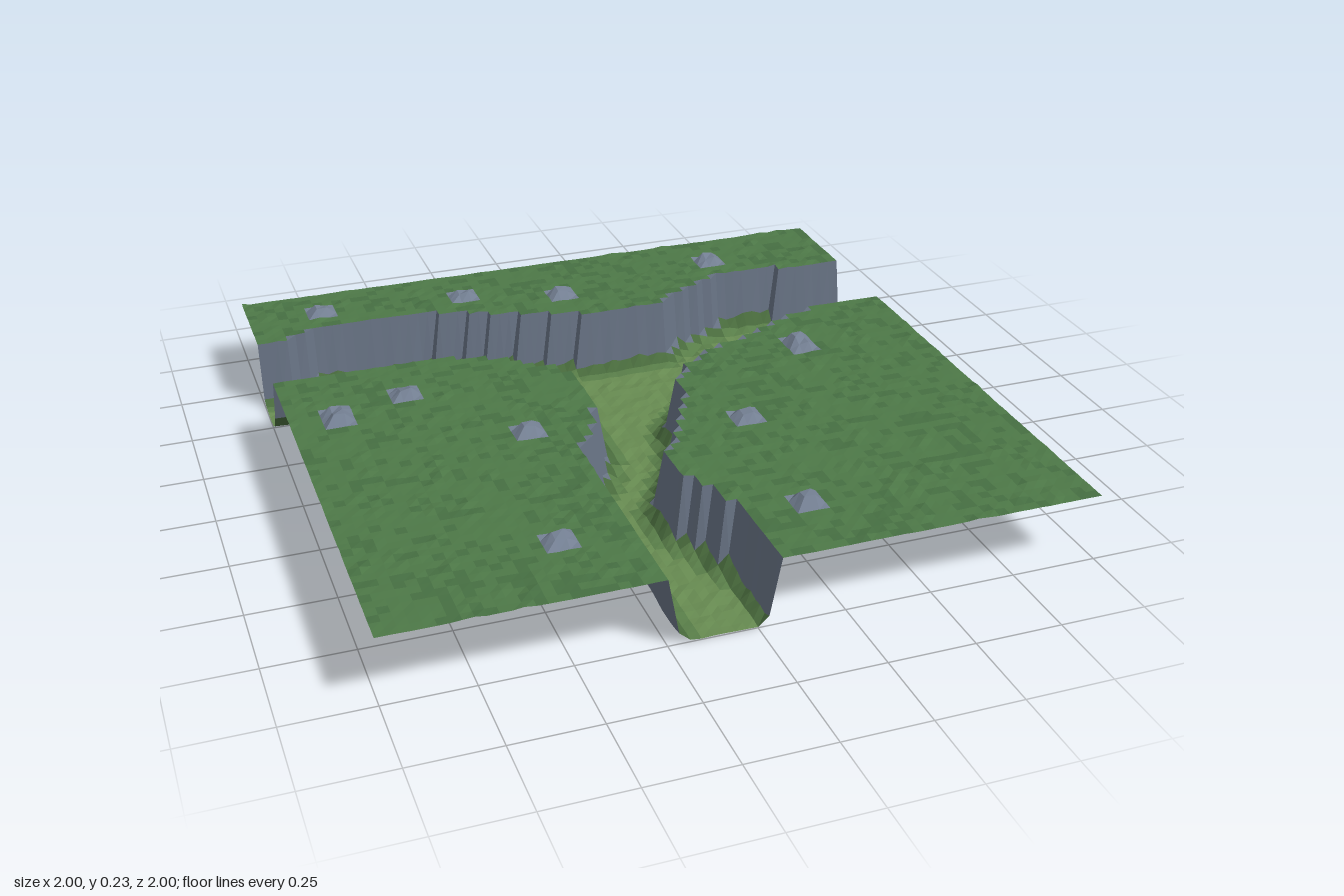
import * as THREE from 'three';

const N = 64, STEP = 2 / N, TOP = 0.203;

// Canyon rims seen from above, as x, z pairs
const northRim = [[-1.2, -0.68], [-0.91, -0.68], [-0.82, -0.72], [-0.7, -0.735], [-0.45, -0.73], [-0.35, -0.7],
  [-0.25, -0.65], [-0.1, -0.6], [0.05, -0.55], [0.3, -0.545], [0.4, -0.62], [0.55, -0.69], [0.75, -0.69],
  [0.82, -0.675], [1.2, -0.675]];
const eastRim = [[1.2, -0.4], [0.8, -0.39], [0.65, -0.35], [0.5, -0.28], [0.4, -0.23], [0.3, -0.2], [0.2, -0.11],
  [0.14, -0.03], [0.12, 0.1], [0.07, 0.2], [0.01, 0.3], [-0.05, 0.4], [-0.05, 0.5], [0, 0.6], [0.03, 0.7],
  [0.06, 0.8], [0.06, 1.2]];
const westRim = [[-0.24, 1.2], [-0.24, 0.9], [-0.23, 0.7], [-0.24, 0.5], [-0.24, 0.3], [-0.17, 0.2], [-0.13, 0.1],
  [-0.1, 0], [-0.11, -0.15], [-0.14, -0.24], [-0.2, -0.29], [-0.25, -0.34], [-0.35, -0.39], [-0.45, -0.41],
  [-0.6, -0.435], [-1.2, -0.435]];
const outline = [...northRim, ...eastRim, ...westRim];

// Centres of the rocks on the plateaus
const rocks = [[-0.77, -0.87], [-0.31, -0.83], [0.03, -0.74], [0.58, -0.83], [-0.65, -0.21], [-0.865, -0.125],
  [0.61, -0.125], [-0.37, 0.15], [0.275, 0.27], [-0.46, 0.735], [0.245, 0.765]];

let seed = 7;
function random() {
  seed = (seed * 16807) % 2147483647;
  return seed / 2147483647;
}

// Distance to the rim: positive inside the canyon, negative on the plateaus
function depthInside(x, z) {
  let inside = false, best = Infinity;
  outline.forEach(([ax, az], i) => {
    const [bx, bz] = outline[(i + 1) % outline.length];
    if ((az > z) !== (bz > z) && x < ax + (z - az) / (bz - az) * (bx - ax)) inside = !inside;
    const dx = bx - ax, dz = bz - az;
    const t = THREE.MathUtils.clamp(((x - ax) * dx + (z - az) * dz) / (dx * dx + dz * dz), 0, 1);
    best = Math.min(best, Math.hypot(x - ax - t * dx, z - az - t * dz));
  });
  return inside ? best : -best;
}

function makeVertex(i, j) {
  const x = -1 + i * STEP, z = -1 + j * STEP;
  const d = depthInside(x, z);
  let y, rock = false;
  if (d > 0) {
    const slope = THREE.MathUtils.clamp(1 - d / 0.075, 0, 1);
    y = 0.003 + random() * 0.007 + slope * slope * (0.04 + random() * 0.025);
  } else {
    y = TOP + (random() < 0.15 ? 0.006 : 0.002) * random();
    // Each rock raises a small patch of the grid
    rock = d < -0.05 && rocks.some(([rx, rz]) => Math.abs(x - rx) <= STEP && Math.abs(z - rz) <= STEP);
    if (rock) y += 0.014 + random() * 0.016;
  }
  return { x, y, z, d, rock };
}

// Which part of the terrain a grid cell belongs to
function partOf(cell) {
  const ys = cell.map(v => v.y);
  const d = cell.reduce((sum, v) => sum + v.d, 0) / 4;
  if (Math.max(...ys) - Math.min(...ys) > 0.1) return 'cliff';
  if (cell.some(v => v.rock)) return 'rocks';
  if (d < 0) return random() < 0.25 ? 'grassDark' : 'grass';
  if (d < 0.045) return 'cliffFoot';
  return d < 0.075 ? 'canyonBank' : 'canyonFloor';
}

const colors = {
  grass: 0x4d7847, grassDark: 0x466f42, cliff: 0x667182, rocks: 0x737f92,
  cliffFoot: 0x486a3c, canyonBank: 0x587d48, canyonFloor: 0x678b51,
};

export function createModel() {
  const model = new THREE.Group();
  model.name = 'canyonTerrain';
  const grid = [];
  for (let j = 0; j <= N; j++) {
    grid.push(Array.from({ length: N + 1 }, (_, i) => makeVertex(i, j)));
  }

  // Sort the cells' triangles into one surface per part
  const surfaces = Object.fromEntries(Object.keys(colors).map(name => [name, []]));
  for (let j = 0; j < N; j++) {
    for (let i = 0; i < N; i++) {
      const a = grid[j][i], b = grid[j + 1][i], c = grid[j + 1][i + 1], d = grid[j][i + 1];
      const list = surfaces[partOf([a, b, c, d])];
      for (const v of [a, b, d, b, c, d]) list.push(v.x, v.y, v.z);
    }
  }

  for (const [name, points] of Object.entries(surfaces)) {
    const geometry = new THREE.BufferGeometry();
    geometry.setAttribute('position', new THREE.Float32BufferAttribute(points, 3));
    geometry.computeVertexNormals();
    const material = new THREE.MeshStandardMaterial({
      color: colors[name], flatShading: true, side: THREE.DoubleSide,
    });
    const mesh = new THREE.Mesh(geometry, material);
    mesh.name = name;
    model.add(mesh);
  }
  return model;
}
